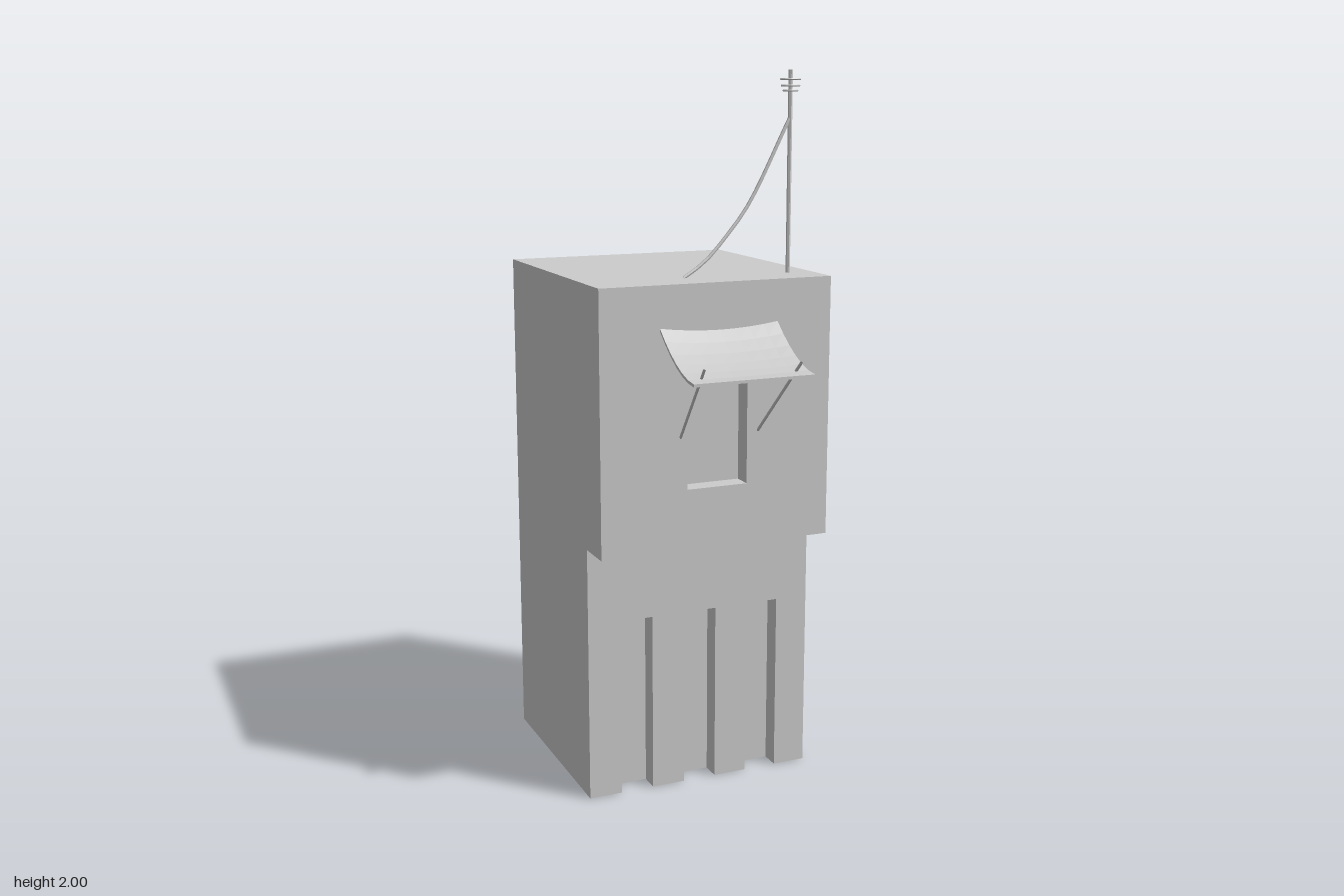
import * as THREE from 'three';
import { mergeGeometries } from 'three/addons/utils/BufferGeometryUtils.js';

const mat = new THREE.MeshStandardMaterial({ color: 0xcccccc, side: THREE.DoubleSide, flatShading: true });
const V = (x, y, z) => new THREE.Vector3(x, y, z);

const W = 0.336, TOP = 1.455, STEP = 0.73;         // half width, roof, overhang height
const BACK = -0.47, LOW = 0.14, HIGH = 0.252;      // depth planes
const DEPTH = 0.055;                               // recess depth

function mesh(name, geo) {
  const m = new THREE.Mesh(geo, mat);
  m.name = name;
  return m;
}

// Flat four-cornered face, corners counter-clockwise from outside
function quad(a, b, c, d) {
  const g = new THREE.BufferGeometry().setFromPoints([a, b, c, a, c, d]);
  g.computeVertexNormals();
  return g;
}

const poly = pts => pts.map(p => new THREE.Vector2(...p));
const rect = (x0, x1, y0, y1) => poly([[x0, y0], [x1, y0], [x1, y1], [x0, y1]]);

// Inner faces of a rectangular niche cut into a wall at z
function niche(x0, x1, y0, y1, z, sill) {
  const b = z - DEPTH;
  const faces = [
    quad(V(x0, y0, b), V(x1, y0, b), V(x1, y1, b), V(x0, y1, b)),
    quad(V(x0, y0, z), V(x0, y0, b), V(x0, y1, b), V(x0, y1, z)),
    quad(V(x1, y0, b), V(x1, y0, z), V(x1, y1, z), V(x1, y1, b)),
    quad(V(x0, y1, b), V(x1, y1, b), V(x1, y1, z), V(x0, y1, z)),
  ];
  if (sill) faces.push(quad(V(x0, y0, z), V(x1, y0, z), V(x1, y0, b), V(x0, y0, b)));
  return mergeGeometries(faces);
}

// Straight round bar between two points
function bar(a, b, r) {
  return new THREE.TubeGeometry(new THREE.LineCurve3(a, b), 1, r, 6);
}

export function createModel() {
  const model = new THREE.Group();
  model.name = 'tower';

  // Stepped side walls
  const profile = new THREE.Shape(poly([[-BACK, 0], [-BACK, TOP], [-HIGH, TOP], [-HIGH, STEP], [-LOW, STEP], [-LOW, 0]]));
  for (const s of [-1, 1]) {
    const g = new THREE.ShapeGeometry(profile).rotateY(Math.PI / 2).translate(W, 0, 0);
    if (s < 0) g.rotateY(Math.PI).scale(1, 1, -1);
    if (s < 0) g.index.array.reverse();
    model.add(mesh(s > 0 ? 'leftWall' : 'rightWall', g));
  }

  // Back, roof and underside of the overhang; the bottom is open
  model.add(mesh('backWall', quad(V(W, 0, BACK), V(-W, 0, BACK), V(-W, TOP, BACK), V(W, TOP, BACK))));
  model.add(mesh('roof', quad(V(-W, TOP, HIGH), V(W, TOP, HIGH), V(W, TOP, BACK), V(-W, TOP, BACK))));
  model.add(mesh('overhang', quad(V(-W, STEP, LOW), V(W, STEP, LOW), V(W, STEP, HIGH), V(-W, STEP, HIGH))));

  // Lower front wall with three tall niches reaching the ground
  const outline = [[-W, 0]];
  for (const x of [-0.193, 0, 0.193]) {
    const a = x - 0.048, b = x + 0.048;
    outline.push([a, 0], [a, 0.512], [b, 0.512], [b, 0]);
    model.add(mesh('niche', niche(a, b, 0, 0.512, LOW, false)));
  }
  outline.push([W, 0], [W, STEP], [-W, STEP]);
  model.add(mesh('lowerFront', new THREE.ShapeGeometry(new THREE.Shape(poly(outline))).translate(0, 0, LOW)));

  // Upper front wall with the window
  const upper = new THREE.Shape(rect(-W, W, STEP, TOP));
  upper.holes.push(new THREE.Path(rect(-0.088, 0.088, 0.9, 1.25)));
  model.add(mesh('upperFront', new THREE.ShapeGeometry(upper).translate(0, 0, HIGH)));
  model.add(mesh('window', niche(-0.088, 0.088, 0.9, 1.25, HIGH, true)));

  // Awning: thin sheet that flares outward and sags in the middle
  const awning = new THREE.BoxGeometry(0.342, 0.008, 0.22, 8, 1, 6).translate(0.005, 0, 0);
  const p = awning.attributes.position;
  for (let i = 0; i < p.count; i++) {
    const t = p.getZ(i) / 0.22 + 0.5;
    const u = (p.getX(i) - 0.005) / 0.171;
    const sag = 0.013 * (1 - u * u) * (1 - t);
    p.setXYZ(i, p.getX(i), p.getY(i) + 1.229 + 0.11 * Math.pow(1 - t, 1.8) - sag, 0.25 + t * 0.22);
  }
  awning.computeVertexNormals();
  model.add(mesh('awning', awning));

  // Struts from the wall through the awning
  for (const s of [-1, 1]) {
    const foot = V(0.007 + s * 0.114, 1.045, 0.25), tip = V(0.007 + s * 0.137, 1.263, 0.453);
    model.add(mesh('awningStrut', bar(foot, tip, 0.004)));
  }

  // Mast with rings near its tip
  const mx = 0.262, mz = 0.14;
  model.add(mesh('mast', bar(V(mx, TOP, mz), V(mx, 2, mz), 0.006)));
  for (const [y, r] of [[1.975, 0.027], [1.958, 0.025], [1.945, 0.02]]) {
    const ring = mesh('mastRing', new THREE.TorusGeometry(r, 0.003, 5, 10).rotateX(Math.PI / 2));
    ring.position.set(mx, y, mz);
    ring.scale.z = 0.85;
    model.add(ring);
    model.add(mesh('ringSpoke', bar(V(mx - r, y, mz), V(mx + r, y, mz), 0.002)));
  }

  // Slack cable from the mast down to the roof
  const cable = new THREE.CatmullRomCurve3([
    V(mx, 1.875, mz), V(0.14, 1.645, mz), V(0.07, 1.557, mz), V(0.01, 1.495, mz), V(-0.05, 1.456, mz),
  ]);
  model.add(mesh('cable', new THREE.TubeGeometry(cable, 12, 0.005, 6)));

  return model;
}
